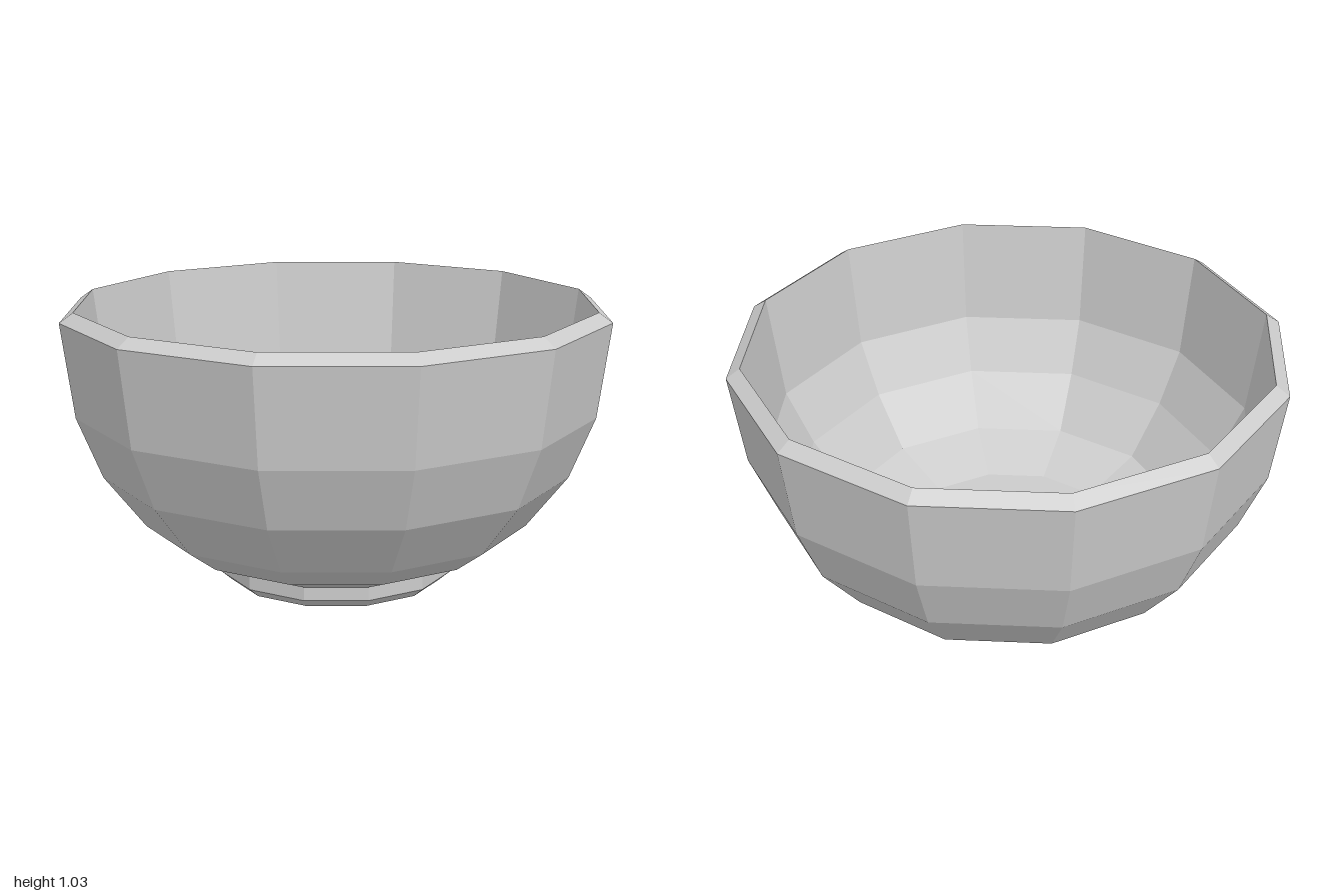
import * as THREE from 'three';

const SIDES = 12;

// Spin a profile of [radius, height] points into a faceted ring of surfaces
function turned(name, profile, material) {
  const points = profile.map(([r, y]) => new THREE.Vector2(r, y));
  const mesh = new THREE.Mesh(new THREE.LatheGeometry(points, SIDES), material);
  mesh.name = name;
  return mesh;
}

export function createModel() {
  const group = new THREE.Group();
  group.name = 'bowl';
  const material = new THREE.MeshStandardMaterial({ color: 0xcccccc, flatShading: true });

  // Foot ring with a shallow recess underneath and a bevelled lower edge
  group.add(turned('foot', [
    [0, 0.05], [0.37, 0.05], [0.4, 0], [0.44, 0.035], [0.44, 0.085],
  ], material));

  // Rounded outer wall
  group.add(turned('outerWall', [
    [0.44, 0.085], [0.6, 0.15], [0.715, 0.235], [0.865, 0.43], [0.955, 0.655], [1, 1],
  ], material));

  // Sloping rim
  group.add(turned('rim', [[1, 1], [0.95, 1.035]], material));

  // Inner wall down to the flat floor
  group.add(turned('innerWall', [
    [0.95, 1.035], [0.9, 0.64], [0.8, 0.44], [0.655, 0.25], [0.43, 0.17], [0, 0.17],
  ], material));

  return group;
}
